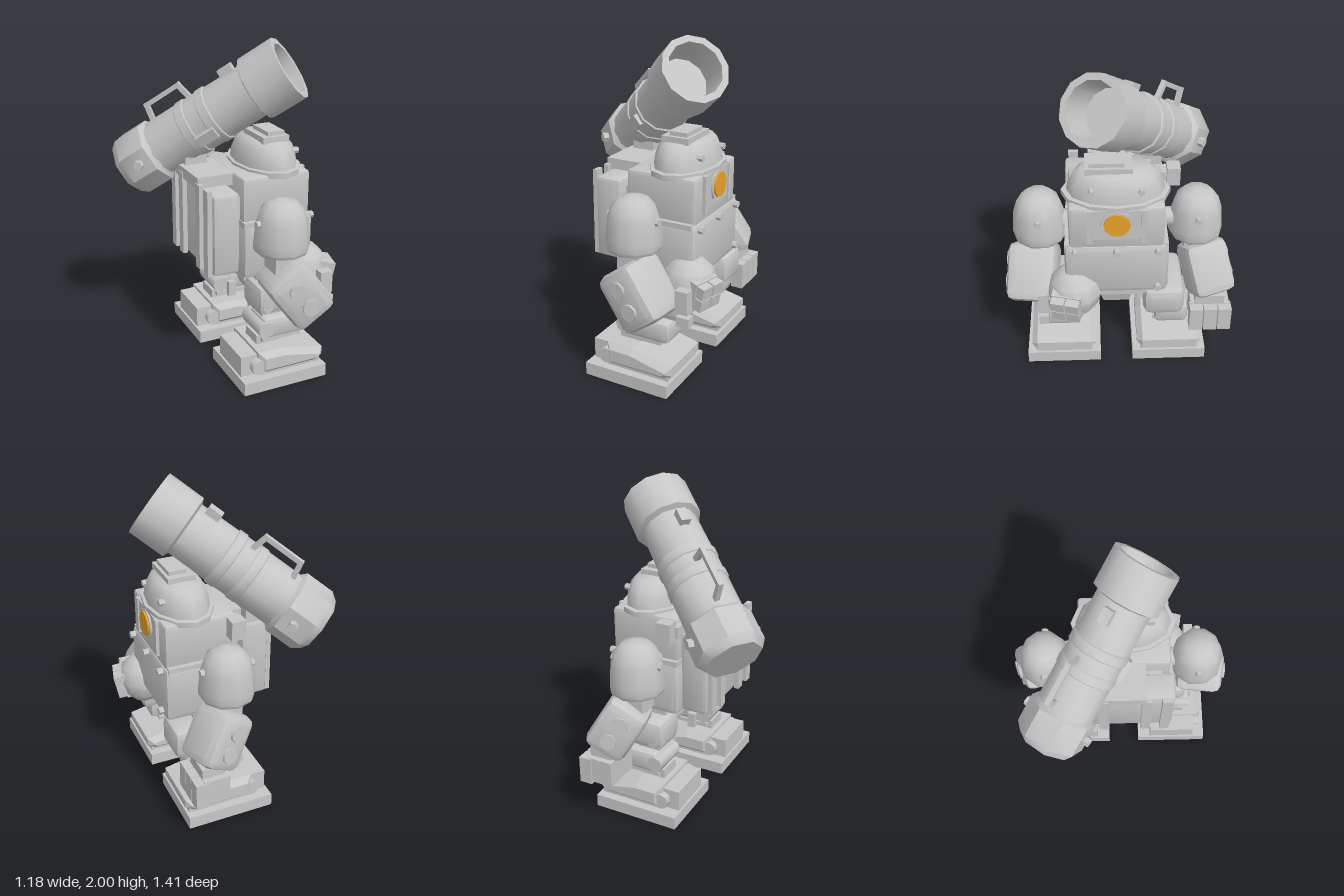
import * as THREE from 'three';
import { toCreasedNormals } from 'three/addons/utils/BufferGeometryUtils.js';
import { RoundedBoxGeometry } from 'three/addons/geometries/RoundedBoxGeometry.js';

const Z0 = 0.028; // middle plane of the body; the machine looks along +x

export function createModel() {
  const model = new THREE.Group();
  const grey = new THREE.MeshStandardMaterial({ color: 0xc6c6c6 });
  grey.name = 'grey plating';
  const amber = new THREE.MeshStandardMaterial({ color: 0xe8a22a });
  amber.name = 'amber lens';

  const group = (name, parent = model, x = 0, y = 0, z = 0) => {
    const g = new THREE.Group();
    g.name = name;
    g.position.set(x, y, z);
    parent.add(g);
    return g;
  };
  const add = (parent, name, geo, pos = [0, 0, 0], rot = [0, 0, 0], mat = grey) => {
    const m = new THREE.Mesh(geo, mat);
    m.name = name;
    m.position.set(...pos);
    m.rotation.set(...rot);
    parent.add(m);
    return m;
  };
  const box = (p, name, size, pos, rot) => add(p, name, new THREE.BoxGeometry(...size), pos, rot);
  const soft = (p, name, size, r, pos, rot) =>
    add(p, name, toCreasedNormals(new RoundedBoxGeometry(...size, 1, r), 0.5), pos, rot);
  const lathe = (p, name, pts, seg, pos, rot) => add(p, name,
    toCreasedNormals(new THREE.LatheGeometry(pts.map(q => new THREE.Vector2(...q)), seg), 0.7), pos, rot);
  // cylinder along 'x' or 'z'
  const rod = (p, name, r, len, axis, pos, seg = 8, mat = grey) => add(p, name,
    toCreasedNormals(new THREE.CylinderGeometry(r, r, len, seg), 0.8), pos,
    axis === 'x' ? [0, 0, -Math.PI / 2] : [Math.PI / 2, 0, 0], mat);
  // bevelled side profile in x and y, centred across z
  const slab = (p, name, pts, depth, bevel, pos) => {
    const geo = new THREE.ExtrudeGeometry(new THREE.Shape(pts.map(q => new THREE.Vector2(...q))), {
      depth: depth - 2 * bevel, bevelEnabled: true, bevelSize: bevel, bevelThickness: bevel,
      bevelOffset: -bevel, bevelSegments: 1 });
    geo.translate(0, 0, -depth / 2 + bevel);
    return add(p, name, geo, pos);
  };

  // Legs and feet
  for (const s of [1, -1]) {
    const leg = group(s > 0 ? 'leftLeg' : 'rightLeg');
    const z = Z0 + s * 0.335;
    box(leg, 'solePlate', [0.55, 0.08, 0.465], [0.127, 0.04, z]);
    box(leg, 'footBase', [0.41, 0.04, 0.36], [0.18, 0.1, z]);
    slab(leg, 'footShell', [[-0.03, 0.085], [0.36, 0.085], [0.405, 0.115], [0.405, 0.17], [0.14, 0.228], [-0.03, 0.228]],
      0.41, 0.035, [0, 0, z]);
    box(leg, 'heelBlock', [0.13, 0.13, 0.3], [-0.07, 0.145, z]);
    rod(leg, 'heelPin', 0.05, 0.39, 'z', [-0.03, 0.14, z]);
    box(leg, 'ankle', [0.15, 0.08, 0.15], [0.08, 0.245, z]);
    box(leg, 'anklePlate', [0.26, 0.025, 0.2], [0.16, 0.262, z]);
    soft(leg, 'shin', [0.31, 0.135, 0.21], 0.03, [0.19, 0.335, Z0 + s * 0.345]);
    rod(leg, 'kneePin', 0.052, 0.24, 'z', [0.05, 0.335, Z0 + s * 0.335]);
    box(leg, 'kneeCap', [0.05, 0.1, 0.035], [0.1, 0.33, Z0 + s * 0.155]);
    box(leg, 'kneeLink', [0.14, 0.12, 0.14], [0.12, 0.42, Z0 + s * 0.32]);
    soft(leg, 'thigh', [0.4, 0.19, 0.25], 0.045, [0.22, 0.5, Z0 + s * 0.29]);
    rod(leg, 'hipPin', 0.035, 0.27, 'z', [0.08, 0.46, Z0 + s * 0.28]);
    box(leg, 'hipLink', [0.2, 0.1, 0.14], [0.16, 0.6, Z0 + s * 0.22]);
  }

  // Pelvis with tapered centre block
  const pelvis = group('pelvis');
  box(pelvis, 'waistPlate', [0.36, 0.07, 0.4], [0.2, 0.59, Z0]);
  const wedge = new THREE.CylinderGeometry(0.17, 0.11, 0.15, 4, 1);
  wedge.rotateY(Math.PI / 4);
  add(pelvis, 'centreBlock', toCreasedNormals(wedge, 0.5), [0.2, 0.485, Z0]);

  // Torso
  const torso = group('torso');
  soft(torso, 'lowerHull', [0.46, 0.36, 0.61], 0.035, [0.2, 0.795, Z0]);
  soft(torso, 'upperHull', [0.44, 0.3, 0.55], 0.02, [0.195, 1.09, Z0]);
  box(torso, 'hullRail', [0.44, 0.035, 0.605], [0.19, 0.96, Z0]);
  box(torso, 'facePlate', [0.02, 0.2, 0.27], [0.417, 1.13, Z0]);
  for (const s of [1, -1]) {
    box(torso, 'faceRib', [0.04, 0.23, 0.035], [0.415, 1.12, Z0 + s * 0.155]);
    rod(torso, 'shoulderAxle', 0.06, 0.2, 'z', [0.13, 0.96, Z0 + s * 0.36]);
    for (const y of [0.94, 0.67])
      rod(torso, 'hullBolt', 0.022, 0.04, 'x', [0.44, y, Z0 + s * 0.24], 6);
  }
  rod(torso, 'hullBolt', 0.022, 0.04, 'x', [0.44, 0.94, Z0], 6);
  rod(torso, 'eyeRing', 0.095, 0.02, 'x', [0.428, 1.14, 0.027], 8);
  rod(torso, 'eyeLens', 0.076, 0.025, 'x', [0.4365, 1.143, 0.027], 12, amber);

  // Head dome, wider than it is long
  const head = group('head');
  const dome = lathe(head, 'headDome', [[0, 1.222], [0.315, 1.222], [0.315, 1.255], [0.285, 1.258], [0.275, 1.31],
    [0.245, 1.37], [0.2, 1.405], [0, 1.415]], 12, [0.237, 0, Z0]);
  dome.scale.x = 0.63;
  box(head, 'hatchBase', [0.17, 0.04, 0.27], [0.235, 1.42, 0.07]);
  box(head, 'hatch', [0.11, 0.05, 0.2], [0.245, 1.44, 0.08]);
  for (const s of [1, -1]) rod(head, 'domeBolt', 0.02, 0.05, 'x', [0.375, 1.33, Z0 + s * 0.14], 6);

  // Backpack
  const pack = group('backpack');
  soft(pack, 'packCase', [0.165, 0.5, 0.6], 0.02, [-0.14, 0.92, Z0]);
  box(pack, 'packMount', [0.08, 0.4, 0.46], [-0.04, 0.92, Z0]);
  for (const s of [1, -1])
    for (const d of [0.13, 0.25]) box(pack, 'packRib', [0.03, 0.53, 0.06], [-0.24, 0.935, Z0 + s * d]);
  box(pack, 'topBlock', [0.27, 0.07, 0.35], [-0.115, 1.2, -0.02]);
  box(pack, 'sideClamp', [0.09, 0.12, 0.08], [0.01, 1.19, -0.325]);
  box(pack, 'clampArm', [0.09, 0.07, 0.2], [-0.01, 1.18, -0.2]);
  box(pack, 'cannonBracket', [0.14, 0.13, 0.16], [-0.15, 1.225, -0.18]);

  // Shoulders
  for (const [name, z] of [['leftShoulder', 0.485], ['rightShoulder', -0.46]]) {
    const g = group(name, model, 0.13, 0, z);
    lathe(g, 'shoulderDome', [[0, 0.85], [0.155, 0.85], [0.165, 0.87], [0.163, 0.92], [0.152, 1.03],
      [0.13, 1.1], [0.085, 1.15], [0, 1.172]], 10);
    rod(g, 'shoulderBolt', 0.022, 0.33, 'x', [0, 1.03, 0], 6);
    box(g, 'upperArm', [0.14, 0.16, 0.14], [0, 0.81, 0]);
  }

  // Left arm, bent across the front with a closed fist
  const left = group('leftArm');
  const fore = group('leftForearm', left, 0.2, 0.605, 0.535);
  fore.rotation.set(0, -0.12, 0.64, 'YXZ');
  soft(fore, 'forearmShell', [0.28, 0.36, 0.3], 0.05);
  for (const y of [0.075, -0.065]) rod(fore, 'forearmBoss', 0.052, 0.03, 'z', [0, y, 0.15], 8);
  const fist = toCreasedNormals(new THREE.SphereGeometry(0.165, 10, 6), 0.7);
  add(left, 'wristBall', fist, [0.38, 0.615, 0.28]);
  const hand = group('leftHand', left, 0.515, 0.585, 0.33);
  hand.rotation.set(0, -0.25, -0.2);
  box(hand, 'palm', [0.06, 0.17, 0.18], [-0.04, 0, 0]);
  for (const dy of [-0.04, 0.04]) for (const dz of [-0.045, 0.045])
    box(hand, 'finger', [0.065, 0.074, 0.08], [0.008, dy, dz]);
  box(left, 'thumb', [0.08, 0.14, 0.06], [0.44, 0.58, 0.47]);
  box(left, 'wristPlate', [0.08, 0.06, 0.06], [0.45, 0.46, 0.47]);

  // Right arm, hanging forward
  const right = group('rightArm');
  const foreR = group('rightForearm', right, 0.22, 0.63, -0.53);
  foreR.rotation.set(0.08, 0.3, 0.55, 'YXZ');
  soft(foreR, 'forearmShell', [0.26, 0.34, 0.27], 0.05);
  for (const y of [0.07, -0.06]) rod(foreR, 'forearmBoss', 0.05, 0.03, 'z', [0, y, -0.135], 8);
  box(right, 'wrist', [0.14, 0.1, 0.18], [0.29, 0.45, -0.55]);
  box(right, 'palm', [0.16, 0.16, 0.24], [0.28, 0.36, -0.555]);
  for (const i of [-1, 0, 1]) box(right, 'finger', [0.08, 0.17, 0.082], [0.375, 0.35, -0.555 + i * 0.088]);

  // Cannon: local y runs out of the muzzle, local z points up
  const cannon = group('cannon', model, 0.337, 1.83, 0.155);
  const d = new THREE.Vector3(1, 0.835, 0.73).normalize();
  const u = new THREE.Vector3(0, 1, 0).addScaledVector(d, -d.y).normalize();
  cannon.quaternion.setFromRotationMatrix(new THREE.Matrix4().makeBasis(d.clone().cross(u), d, u));
  lathe(cannon, 'muzzle', [[0.165, -0.25], [0.203, -0.235], [0.203, 0], [0.163, 0], [0.152, -0.2], [0, -0.2]], 12);
  lathe(cannon, 'barrel', [[0.175, -0.95], [0.175, -0.72], [0.182, -0.715], [0.182, -0.66], [0.175, -0.655],
    [0.175, -0.57], [0.182, -0.565], [0.182, -0.51], [0.172, -0.505], [0.168, -0.24]], 12);
  lathe(cannon, 'breech', [[0, -1.2], [0.17, -1.2], [0.205, -1.15], [0.205, -0.97], [0.175, -0.94]], 8,
    [0, 0, 0], [0, Math.PI / 8, 0]);
  box(cannon, 'sight', [0.06, 0.09, 0.07], [0, -0.33, 0.175]);
  box(cannon, 'sideClamp', [0.05, 0.13, 0.07], [0.16, -0.6, -0.07], [0, 0.4, 0]);
  const handle = group('handle', cannon, -0.03, -0.76, 0);
  box(handle, 'handleBar', [0.03, 0.25, 0.028], [0, 0, 0.265]);
  for (const s of [1, -1]) {
    box(handle, 'handlePost', [0.03, 0.03, 0.125], [0, s * 0.13, 0.217], [s * 0.2, 0, 0]);
    rod(cannon, 'breechBolt', 0.03, 0.06, 'x', [s * 0.195, -1.05, 0], 6);
  }
  return model;
}
